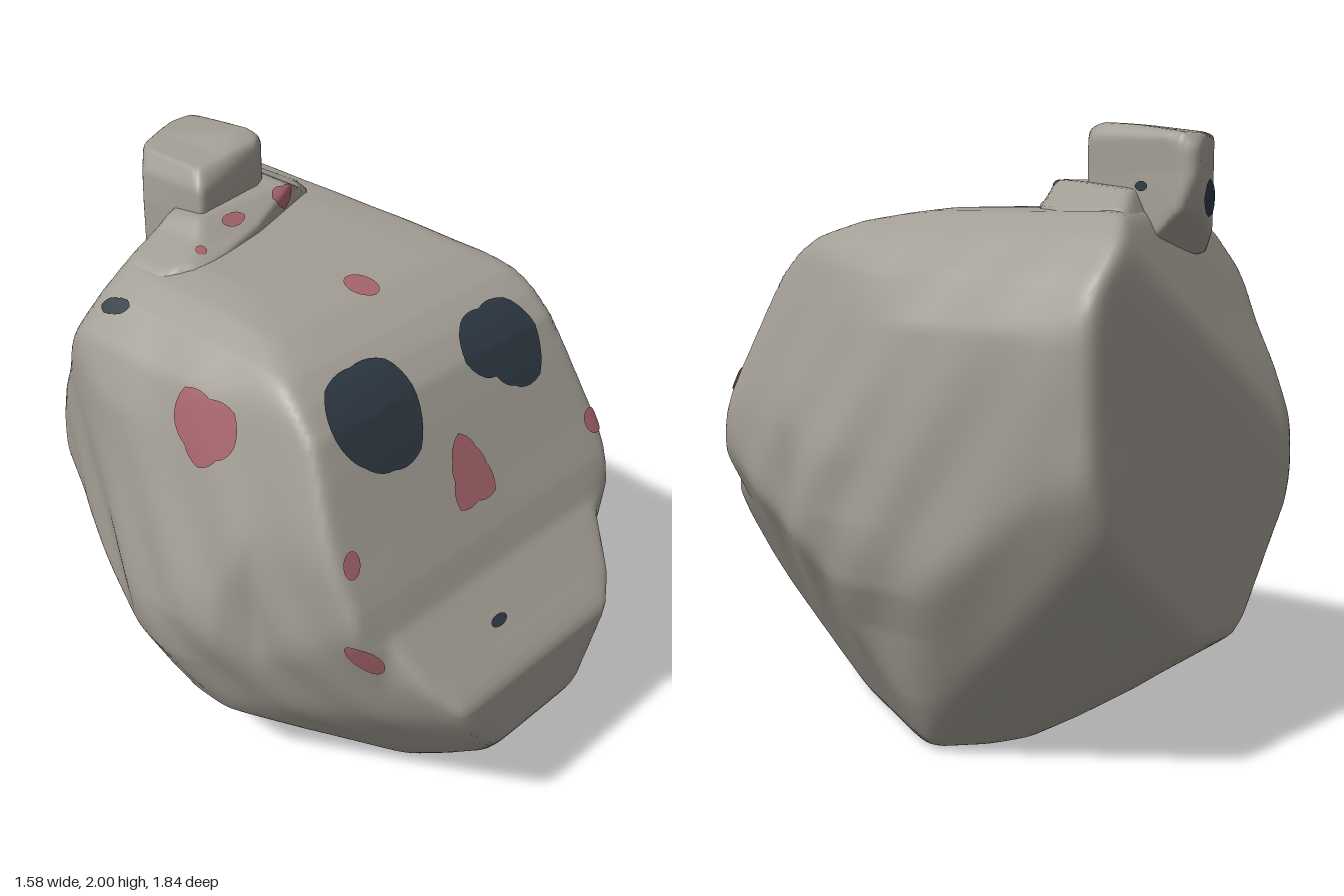
import * as THREE from 'three';
import { mergeVertices } from 'three/addons/utils/BufferGeometryUtils.js';

const stone = new THREE.MeshStandardMaterial({ color: 0xa29d94 });
stone.name = 'warm grey stone';
const rose = new THREE.MeshStandardMaterial({ color: 0xa5646a, side: THREE.DoubleSide });
rose.name = 'dull rose paint';
const slate = new THREE.MeshStandardMaterial({ color: 0x2d3842, side: THREE.DoubleSide });
slate.name = 'dark slate paint';

// Inverse distance along direction (dx, dy) to a closed outline around (cx, cy)
function outlineReach(pts, cx, cy, dx, dy) {
  for (let i = 0; i < pts.length; i++) {
    const a = pts[i], b = pts[(i + 1) % pts.length];
    const ax = a[0] - cx, ay = a[1] - cy, bx = b[0] - cx, by = b[1] - cy;
    const s = Math.sign(ax * by - ay * bx);
    if (s * (ax * dy - ay * dx) >= 0 && s * (dx * by - dy * bx) >= 0) {
      const ex = bx - ax, ey = by - ay;
      return Math.max(0, (dx * ey - dy * ex) / (ax * ey - ay * ex));
    }
  }
  return 0;
}

// A block carved by front (x,y), side (z,y) and top (x,z) outlines and by planes [nx,ny,nz,d];
// sharp sets how hard the carved edges are
function makeBlock({ centre, front, side, top, planes = [], ripple = 0, sharp = 60 }) {
  const c = new THREE.Vector3(...centre);
  const project = (p, lift = 0) => {
    const d = p.clone().sub(c).normalize();
    let sum = outlineReach(front, c.x, c.y, d.x, d.y) ** sharp
      + outlineReach(side, c.z, c.y, d.z, d.y) ** sharp
      + outlineReach(top, c.x, c.z, d.x, d.z) ** sharp;
    for (const [a, b, e, k] of planes) {
      const g = (a * d.x + b * d.y + e * d.z) / (k - a * c.x - b * c.y - e * c.z);
      if (g > 0) sum += g ** sharp;
    }
    let r = (2 / sum) ** (1 / sharp);
    r += ripple * d.x * d.x * (1 - d.y * d.y) * Math.sin(24 * r * (0.8 * d.z + 0.5 * d.y));
    return d.multiplyScalar(r + lift).add(c);
  };
  return { project, c };
}

function blockMesh(name, block, n) {
  let geo = new THREE.BoxGeometry(2, 2, 2, n, n, n);
  geo.deleteAttribute('uv');
  geo.deleteAttribute('normal');
  geo = mergeVertices(geo, 1e-4);
  const pos = geo.attributes.position, p = new THREE.Vector3();
  for (let i = 0; i < pos.count; i++) {
    p.fromBufferAttribute(pos, i);
    p.set(Math.tan(p.x * Math.PI / 4), Math.tan(p.y * Math.PI / 4), Math.tan(p.z * Math.PI / 4));
    const q = block.project(p.add(block.c));
    pos.setXYZ(i, q.x, q.y, q.z);
  }
  geo.computeVertexNormals();
  const mesh = new THREE.Mesh(geo, stone);
  mesh.name = name;
  return mesh;
}

// A thin blob of paint wrapped on a block; radii are spread evenly round the blob
function paint(name, block, material, at, u, v, radii) {
  const geo = new THREE.RingGeometry(0.001, 1, 40, 6);
  const pos = geo.attributes.position, n = radii.length;
  const U = new THREE.Vector3(...u), V = new THREE.Vector3(...v);
  for (let i = 0; i < pos.count; i++) {
    const x = pos.getX(i), y = pos.getY(i);
    const t = ((Math.atan2(y, x) / (2 * Math.PI) + 1) % 1) * n;
    const k = Math.floor(t) % n, f = t - Math.floor(t);
    const r = radii[k] * (1 - f) + radii[(k + 1) % n] * f;
    const p = new THREE.Vector3(...at).addScaledVector(U, x * r).addScaledVector(V, y * r);
    const q = block.project(p, 0.006);
    pos.setXYZ(i, q.x, q.y, q.z);
  }
  geo.computeVertexNormals();
  const mesh = new THREE.Mesh(geo, material);
  mesh.name = name;
  return mesh;
}

export function createModel() {
  const group = new THREE.Group();
  group.name = 'carvedStoneHead';
  const backSlope = [-1, 1.5, -2.8, 4.5];

  const head = makeBlock({
    centre: [0, 0.9, 0],
    front: [[-0.02, 0], [0.45, 0], [0.5, 0.03], [0.58, 0.2], [0.67, 0.45], [0.74, 0.6], [0.79, 0.8],
      [0.79, 1], [0.75, 1.2], [0.71, 1.4], [0.63, 1.55], [0.52, 1.66], [0.42, 1.73], [0.3, 1.75],
      [-0.3, 1.75], [-0.42, 1.71], [-0.52, 1.65], [-0.62, 1.54], [-0.69, 1.4], [-0.72, 1.2],
      [-0.76, 1], [-0.8, 0.8], [-0.75, 0.6], [-0.67, 0.43], [-0.6, 0.3], [-0.43, 0.2], [-0.22, 0.1]],
    side: [[-0.25, 0], [0.38, 0], [0.45, 0.03], [0.7, 0.21], [0.84, 0.33], [0.92, 0.44], [0.92, 0.68],
      [0.82, 0.8], [0.71, 0.94], [0.67, 1.05], [0.6, 1.2], [0.555, 1.3], [0.505, 1.41], [0.45, 1.52],
      [0.38, 1.59], [0.3, 1.645], [0.17, 1.695], [-0.1, 1.74], [-0.88, 1.75], [-0.92, 1.7], [-0.92, 0.46],
      [-0.89, 0.41], [-0.58, 0.2], [-0.34, 0.03]],
    top: [[-0.4, 0.92], [0.34, 0.92], [0.42, 0.86], [0.5, 0.73], [0.61, 0.69], [0.66, 0.6], [0.7, 0.3],
      [0.75, 0.18], [0.79, 0], [0.76, -0.25], [0.72, -0.5], [0.71, -0.75], [0.67, -0.9], [0.63, -0.92],
      [-0.38, -0.92], [-0.5, -0.85], [-0.61, -0.6], [-0.7, -0.35], [-0.76, -0.2], [-0.8, 0],
      [-0.75, 0.2], [-0.68, 0.3], [-0.65, 0.5], [-0.62, 0.68], [-0.52, 0.72], [-0.47, 0.85]],
    planes: [
      [1, -0.6, 0.49, 0.41], [-1, -0.375, 0.43, 0.545], [-1, -0.81, 0.575, 0.4], // jaw
      [1, -1.2, -1.15, 0.624], [1, -0.5, -0.46, 0.58], [-1, -0.72, -0.72, 0.476], // lower back
      [-1, 0.28, 0.12, 1.045], [1, 0.28, 0.2, 1.07], backSlope, // temples and back slope
    ],
    ripple: 0.009,
  });
  // Low swelling on the crown
  const crown = makeBlock({
    centre: [0, 1.64, -0.5],
    front: [[-0.52, 1.55], [-0.4, 1.73], [-0.25, 1.78], [-0.18, 1.83], [0.2, 1.83], [0.3, 1.77], [0.42, 1.73], [0.5, 1.55]],
    side: [[-0.22, 1.55], [-0.27, 1.73], [-0.35, 1.77], [-0.44, 1.83], [-0.88, 1.78], [-0.92, 1.55]],
    top: [[-0.5, -0.55], [-0.44, -0.38], [-0.3, -0.28], [0, -0.35], [0.34, -0.47], [0.4, -0.58],
      [0.38, -0.88], [0.18, -0.92], [-0.2, -0.74]],
    planes: [backSlope],
    sharp: 35,
  });
  const knob = makeBlock({
    centre: [0.02, 1.82, -0.66],
    front: [[-0.19, 1.6], [-0.18, 1.8], [-0.165, 1.9], [-0.13, 1.96], [-0.02, 1.97], [0.1, 2],
      [0.16, 2], [0.2, 1.95], [0.2, 1.85], [0.22, 1.6]],
    side: [[-0.4, 1.65], [-0.42, 1.8], [-0.45, 1.9], [-0.5, 1.97], [-0.57, 2], [-0.7, 1.985],
      [-0.87, 1.96], [-0.92, 1.92], [-0.92, 1.84], [-0.88, 1.74], [-0.72, 1.6], [-0.6, 1.55]],
    top: [[-0.16, -0.45], [0.13, -0.5], [0.19, -0.54], [0.21, -0.88], [0.17, -0.92], [-0.1, -0.79], [-0.18, -0.72]],
    sharp: 24,
  });
  group.add(blockMesh('head', head, 72), blockMesh('crown', crown, 32), blockMesh('knob', knob, 32));

  // Painted face
  const X = [1, 0, 0], up = [0, 1, -0.6];
  const size = (s) => new Array(8).fill(s);
  group.add(
    paint('rightEye', head, slate, [-0.31, 1.5, 0.455], X, up, [0.18, 0.19, 0.16, 0.185, 0.165, 0.14, 0.14, 0.18]),
    paint('leftEye', head, slate, [0.28, 1.51, 0.45], X, up, [0.165, 0.17, 0.125, 0.155, 0.18, 0.1, 0.12, 0.18]),
    paint('nose', head, rose, [-0.02, 1.23, 0.585], X, [0, 1, -0.45], [0.08, 0.08, 0.12, 0.08, 0.07, 0.115, 0.083, 0.12]),
    paint('mouth', head, slate, [-0.105, 0.825, 0.8], X, [0, 0.4, -0.3], size(0.036)),
    paint('rightCheekSpot', head, rose, [-0.56, 1.185, 0.6], X, [0, 1.2, -0.3], size(0.033)),
    paint('leftCheekSpot', head, rose, [0.57, 1.155, 0.6], X, [0, 1, -0.3], size(0.043)),
    paint('foreheadSpot', head, rose, [-0.01, 1.71, 0.12], X, [0, 0, -1.25], size(0.05)),
    paint('templePatch', head, rose, [-0.63, 1.43, 0.07], [0, 0, 1], [0.28, 1, 0], [0.12, 0.14, 0.1, 0.14, 0.12, 0.09, 0.11, 0.09]),
    paint('jawPatch', head, rose, [-0.57, 0.88, 0.66], [0.9, -0.75, 0.2], [0.35, 0.45, 0.2], size(0.066)),
    paint('backSpot', head, slate, [-0.515, 1.6, -0.415], [0.25, 0.1, 1], [1, 0.6, 0], [0.06, 0.03, 0.02, 0.03, 0.06, 0.03, 0.02, 0.03]),
    paint('crownSpotRight', crown, rose, [-0.08, 1.8, -0.39], X, [0, 0.6, -0.8], [0.05, 0.03, 0.022, 0.03, 0.045, 0.03, 0.025, 0.03]),
    paint('crownSpotLeft', crown, rose, [0.145, 1.775, -0.42], X, [0, 0.6, -0.8], [0.06, 0.035, 0.025, 0.04, 0.06, 0.03, 0.022, 0.035]),
    paint('crownFleck', crown, rose, [-0.25, 1.765, -0.35], X, [0, 0.4, -0.8], size(0.02)),
    paint('knobPatch', knob, slate, [-0.01, 1.775, -0.84], [0.9, 0, -0.42], [0, 1, 0], [0.12, 0.07, 0.05, 0.06, 0.11, 0.06, 0.05, 0.07]),
    paint('knobSideSpot', knob, slate, [0.2, 1.81, -0.74], [0, 0, -1], [0, 1, 0], [0.022, 0.016, 0.014, 0.016, 0.022, 0.016, 0.014, 0.016]),
  );
  return group;
}
